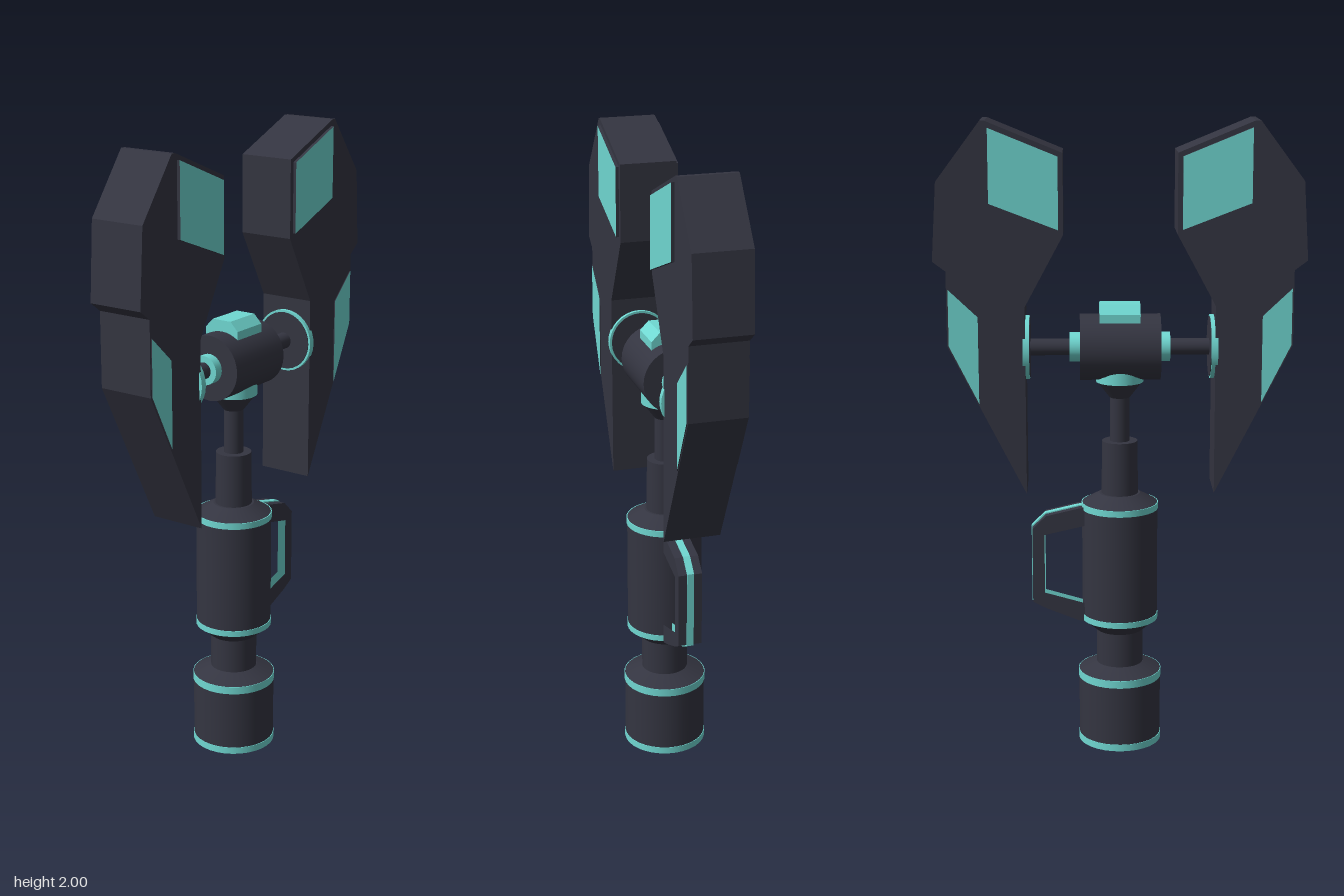
import * as THREE from 'three';

const dark = new THREE.MeshStandardMaterial({ color: 0x343541 });
const teal = new THREE.MeshStandardMaterial({ color: 0x70d8d2 });

export function createModel() {
  const model = new THREE.Group();

  function add(parent, name, geometry, material) {
    const mesh = new THREE.Mesh(geometry, material);
    mesh.name = name;
    parent.add(mesh);
    return mesh;
  }

  // Upright round section between two heights
  function section(name, y0, y1, rBottom, rTop, material) {
    const geo = new THREE.CylinderGeometry(rTop, rBottom, y1 - y0, 32);
    add(model, name, geo.translate(0, (y0 + y1) / 2, 0), material);
  }

  // Round part lying along x at the hub height
  function cross(parent, name, x0, x1, r, material) {
    const geo = new THREE.CylinderGeometry(r, r, Math.abs(x1 - x0), 32).rotateZ(Math.PI / 2);
    add(parent, name, geo.translate((x0 + x1) / 2, 1.3, 0), material);
  }

  // Flat outline extruded evenly about z = 0
  function slab(points, halfDepth, hole) {
    const toVecs = (list) => list.map(([x, y]) => new THREE.Vector2(x, y));
    const shape = new THREE.Shape(toVecs(points));
    if (hole) shape.holes.push(new THREE.Path(toVecs(hole)));
    return new THREE.ExtrudeGeometry(shape, { depth: 2 * halfDepth, bevelEnabled: false })
      .translate(0, 0, -halfDepth);
  }

  // Pommel
  section('pommelLowerBand', 0, 0.022, 0.133, 0.133, teal);
  section('pommel', 0.022, 0.215, 0.131, 0.131, dark);
  section('pommelUpperBand', 0.215, 0.24, 0.133, 0.133, teal);
  section('pommelShoulder', 0.24, 0.265, 0.131, 0.075, dark);

  // Neck and grip
  section('neck', 0.25, 0.385, 0.074, 0.074, dark);
  section('gripLowerChamfer', 0.375, 0.413, 0.074, 0.119, dark);
  section('gripLowerBand', 0.413, 0.432, 0.122, 0.122, teal);
  section('grip', 0.432, 0.78, 0.12, 0.12, dark);
  section('gripUpperBand', 0.78, 0.8, 0.122, 0.122, teal);
  section('gripUpperChamfer', 0.8, 0.83, 0.119, 0.065, dark);

  // Shaft and the collar below the hub
  section('sleeve', 0.82, 1.0, 0.058, 0.056, dark);
  section('stem', 0.99, 1.16, 0.031, 0.031, dark);
  section('collarCone', 1.14, 1.19, 0.032, 0.07, dark);
  section('collar', 1.19, 1.27, 0.074, 0.074, teal);

  // Side handle with a thin inlay running round its inside and outside
  const handle = new THREE.Group();
  handle.name = 'handle';
  model.add(handle);
  const outer = [[0.1, 0.79], [0.13, 0.787], [0.235, 0.762], [0.278, 0.72],
    [0.278, 0.478], [0.235, 0.455], [0.13, 0.413], [0.1, 0.41]];
  const inner = [[0.1, 0.732], [0.24, 0.7], [0.24, 0.508], [0.1, 0.468]];
  add(handle, 'handleBar', slab(outer, 0.038, inner), dark);
  const grow = (list, d) => list.map(([x, y]) =>
    [x > 0.11 ? x + d : x, y + (y > 0.6 ? d : -d)]);
  add(handle, 'handleInlay', slab(grow(outer, 0.003), 0.011, grow(inner, -0.003)), teal);

  // Hub with a faceted cap plate on top
  cross(model, 'hub', -0.126, 0.124, 0.103, dark);
  const cap = [[-0.06, 1.37], [0.06, 1.37], [0.06, 1.41], [0.033, 1.438],
    [-0.033, 1.438], [-0.06, 1.41]];
  add(model, 'hubCap', slab(cap, 0.063).rotateY(Math.PI / 2), teal);

  // Wing outlines on the left side, mirrored for the right
  const wingOutline = [[0.42, 2], [0.555, 1.82], [0.57, 1.58], [0.53, 1.55], [0.53, 1.32],
    [0.292, 0.85], [0.292, 1.44], [0.173, 1.66], [0.173, 1.905], [0.405, 2]];
  const upperPanel = [[0.397, 1.98], [0.188, 1.895], [0.188, 1.675], [0.397, 1.755]];
  const lowerPanel = [[0.525, 1.495], [0.435, 1.41], [0.435, 1.14], [0.525, 1.32]];

  for (const side of [1, -1]) {
    const mirror = (list) => list.map(([x, y]) => [side * x, y]);
    const wing = new THREE.Group();
    wing.name = side > 0 ? 'leftWing' : 'rightWing';
    model.add(wing);

    add(wing, 'blade', slab(mirror(wingOutline), 0.09), dark);
    add(wing, 'upperPanel', slab(mirror(upperPanel), 0.1), [teal, dark]);
    add(wing, 'lowerPanel', slab(mirror(lowerPanel), 0.093), [teal, dark]);

    // Axle, its collar and the round mount on the blade
    cross(wing, 'axle', side * 0.1, side * 0.3, 0.026, dark);
    cross(wing, 'axleCollar', side * 0.11, side * 0.156, 0.046, teal);
    cross(wing, 'mountRing', side * 0.28, side * 0.3, 0.1, teal);
    cross(wing, 'mountFace', side * 0.278, side * 0.295, 0.093, dark);
  }

  return model;
}
